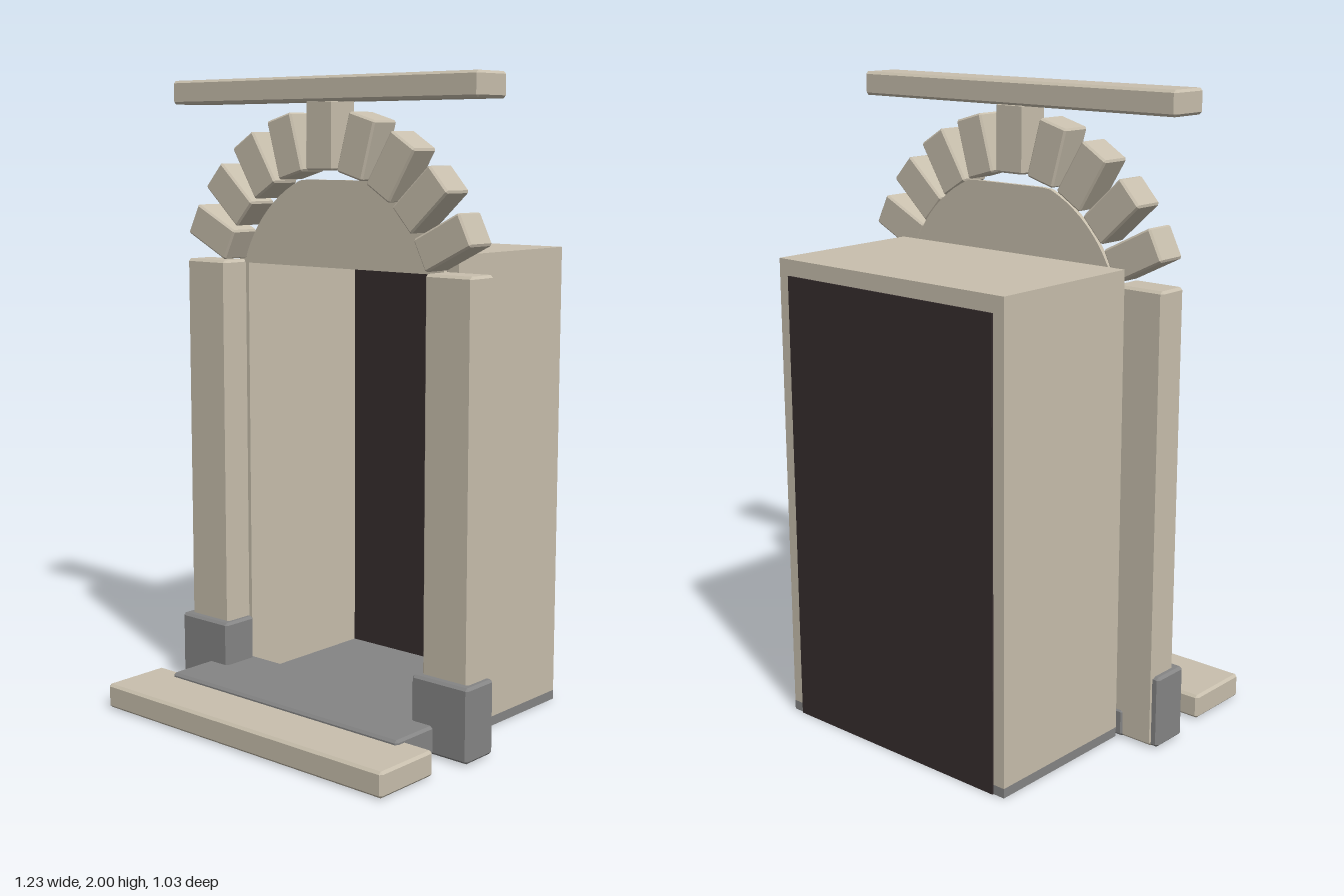
import * as THREE from 'three';
import { ConvexGeometry } from 'three/addons/geometries/ConvexGeometry.js';

const mat = (name, color) => {
  const m = new THREE.MeshStandardMaterial({ color });
  m.name = name;
  return m;
};

// Box with chamfered edges: three points around every corner
function chamferBox(w, h, d, c = 0.008) {
  const pts = [];
  for (const x of [-1, 1]) for (const y of [-1, 1]) for (const z of [-1, 1]) {
    for (let k = 0; k < 3; k++) {
      const inset = [c, c, c];
      inset[k] = 0;
      pts.push(new THREE.Vector3(
        x * (w / 2 - inset[0]), y * (h / 2 - inset[1]), z * (d / 2 - inset[2])));
    }
  }
  return new ConvexGeometry(pts);
}

export function createModel() {
  const group = new THREE.Group();
  group.name = 'archedDoorway';
  const sandstone = mat('sandstone', 0xc8bfad);
  const slate = mat('slate', 0x858585);
  const dark = mat('darkInterior', 0x362d2e);

  const add = (name, geometry, material) => {
    const mesh = new THREE.Mesh(geometry, material);
    mesh.name = name;
    group.add(mesh);
    return mesh;
  };
  // Blocks are given by their limits on each axis
  const block = (name, material, [x0, x1], [y0, y1], [z0, z1], chamfer = 0.008) => {
    const size = [x1 - x0, y1 - y0, z1 - z0];
    const geo = chamfer ? chamferBox(...size, chamfer) : new THREE.BoxGeometry(...size);
    geo.translate((x0 + x1) / 2, (y0 + y1) / 2, (z0 + z1) / 2);
    return add(name, geo, material);
  };

  // Passage behind the doorway
  const depth = [-0.51, 0.02];
  block('passageFloor', slate, [-0.45, 0.45], [0, 0.03], depth, 0);
  block('passageCeiling', sandstone, [-0.45, 0.45], [1.43, 1.48], depth, 0);
  block('passageBack', dark, [-0.41, 0.41], [0, 1.43], [-0.515, -0.505], 0);

  // Side walls, columns and plinths, mirrored
  for (const s of [-1, 1]) {
    const side = s > 0 ? 'left' : 'right';
    const span = (a, b) => (s > 0 ? [a, b] : [-b, -a]);
    block(side + 'Wall', sandstone, span(0.41, 0.45), [0.03, 1.43], depth, 0);
    block(side + 'Column', sandstone, span(0.41, 0.583), [0.005, 1.43], [0.025, 0.13]);
    block(side + 'Plinth', slate, span(0.392, 0.603), [0.005, 0.236], [0.029, 0.157]);
  }

  // Steps
  block('threshold', slate, [-0.475, 0.475], [0.005, 0.094], [0.02, 0.324]);
  block('frontStep', sandstone, [-0.576, 0.576], [0.003, 0.081], [0.28, 0.512]);

  // Arch: panel under the stones, wedge stones and keystone
  const cy = 1.287, r = 0.433;
  const panel = new THREE.Shape();
  panel.moveTo(-0.41, 1.42);
  panel.lineTo(0.41, 1.42);
  const start = Math.asin((1.42 - cy) / r);
  for (let i = 0; i <= 32; i++) {
    const a = start + (Math.PI - 2 * start) * i / 32;
    panel.lineTo(r * Math.cos(a), Math.min(1.69, cy + r * Math.sin(a)));
  }
  const panelGeo = new THREE.ExtrudeGeometry(panel, { depth: 0.015, bevelEnabled: false });
  panelGeo.translate(0, 0, 0.021);
  add('archPanel', panelGeo, sandstone);

  const length = 0.185;
  for (let i = -4; i <= 4; i++) {
    if (i === 0) continue;
    const a = i * THREE.MathUtils.degToRad(15.9);
    const stone = add('archStone', chamferBox(0.105, length, 0.105, 0.006), sandstone);
    const mid = r + length / 2;
    stone.position.set(mid * Math.sin(a), cy + mid * Math.cos(a), 0.0775);
    stone.rotation.z = -a;
  }
  block('keystone', sandstone, [-0.055, 0.055], [1.72, 1.93], [0.025, 0.13], 0.006);

  // Cornice slab
  block('cornice', sandstone, [-0.615, 0.615], [1.925, 2], [0.02, 0.155]);

  return group;
}
